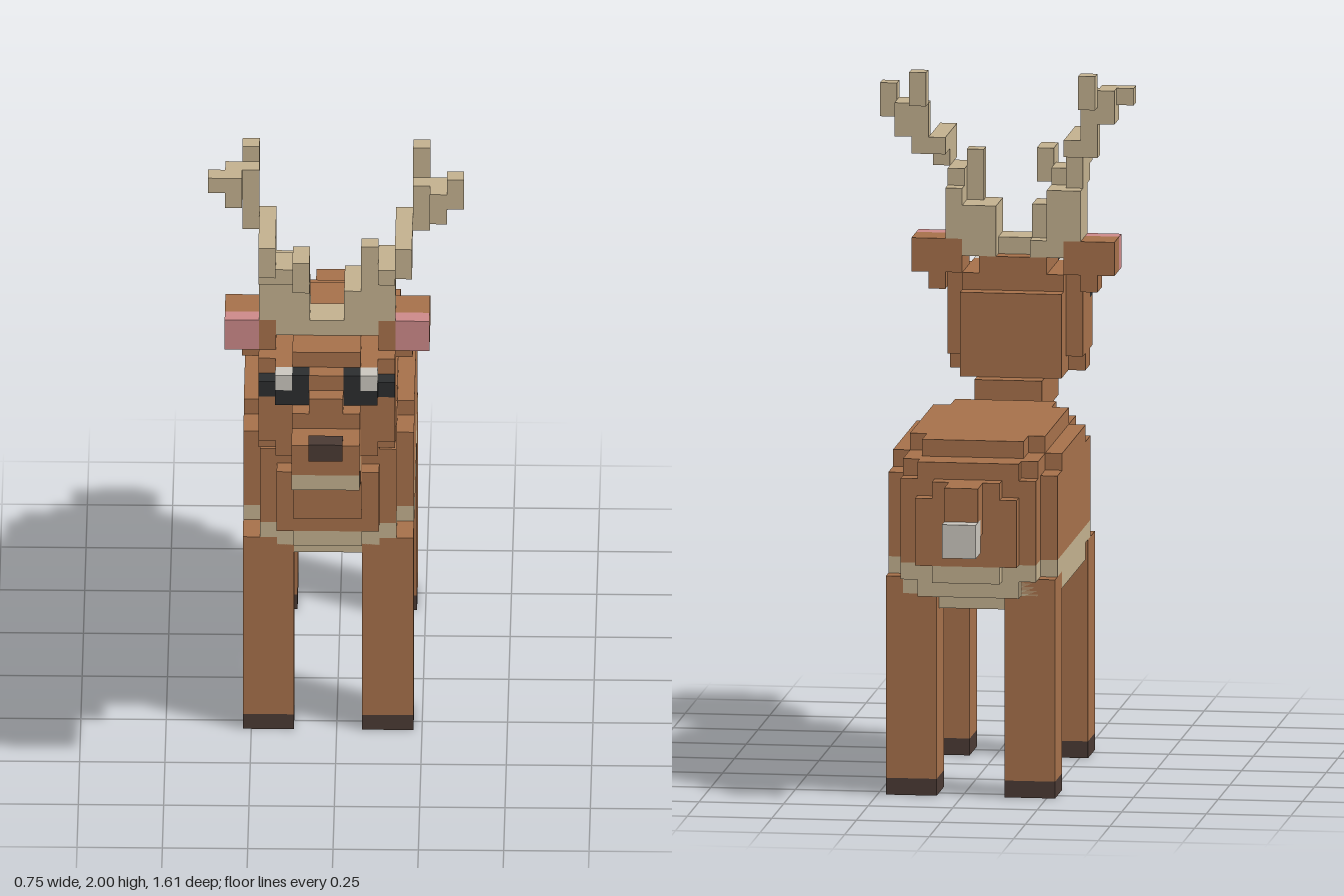
import * as THREE from 'three';
import { mergeGeometries } from 'three/addons/utils/BufferGeometryUtils.js';

const S = 0.05;      // edge of one cube
const X0 = -0.025;   // mirror plane of the body

const mat = (name, color) => {
  const m = new THREE.MeshStandardMaterial({ color });
  m.name = name;
  return m;
};

// Block given in cube units: x0, x1, y0, y1, z0, z1
function block([x0, x1, y0, y1, z0, z1]) {
  const g = new THREE.BoxGeometry((x1 - x0) * S, (y1 - y0) * S, (z1 - z0) * S);
  return g.translate(X0 + (x0 + x1) * S / 2, (y0 + y1) * S / 2, (z0 + z1) * S / 2);
}
const flip = ([a, b, ...rest]) => [-b, -a, ...rest];
const both = (list) => list.flatMap((b) => [b, flip(b)]);

export function createModel() {
  const fur = mat('brown fur', 0xa5704a);
  const cream = mat('cream', 0xc2b08e);
  const pink = mat('pink', 0xcb8888);
  const hoofDark = mat('dark hoof', 0x4a3a34);
  const black = mat('eye black', 0x2b2d2e);
  const white = mat('off white', 0xc9c5bd);

  const model = new THREE.Group();
  const add = (name, material, blocks) => {
    const mesh = new THREE.Mesh(mergeGeometries(blocks.map(block)), material);
    mesh.name = name;
    model.add(mesh);
  };

  // Rounded barrel: one run of cubes along z for each row of a superellipsoid
  const back = [], belly = [];
  for (let y = 11; y < 21; y++) {
    const v = ((y + 0.5 - 16) / 5) ** 4;
    let lastHalf = 0;
    for (let u = 4; u >= 0; u--) {
      const uu = ((u + 0.5) / 5) ** 4;
      let half = 0;
      while (half < 10 && uu + v + ((half + 0.5) / 10) ** 4 < 0.938) half++;
      if (half > lastHalf) {
        (y < 14 ? belly : back).push([-u - 1, u + 1, y, y + 1, -3 - half, -3 + half]);
        lastHalf = half;
      }
    }
  }
  add('body', fur, back);
  add('belly', cream, belly);

  // Legs and hooves
  for (const [end, z] of [['front', 3], ['back', -11]]) {
    for (const [side, x] of [['Left', 2], ['Right', -5]]) {
      add(end + side + 'Leg', fur, [[x, x + 3, 1, 13, z, z + 3]]);
      add(end + side + 'Hoof', hoofDark, [[x, x + 3, 0, 1, z, z + 3]]);
    }
  }

  // Tail
  add('tail', fur, [[-1, 1, 17, 19, -15, -12], [-1, 1, 16, 17, -14, -12]]);
  add('tailTip', white, [[-1, 1, 15, 17, -16, -14]]);

  // Neck
  add('neck', fur, [
    [-2, 2, 16, 19, 3, 9], [-2, 2, 19, 21, 5, 10], [-2, 2, 20, 22, 5, 12],
  ]);

  // Head
  add('head', fur, [
    [-3, 3, 22, 27, 6, 12], [-3, 3, 27, 28, 7, 12],
    ...both([[3, 4, 23, 26, 8, 12], [3, 4, 26, 28, 8, 11], [3, 4, 22, 23, 9, 11]]),
    [-2, 2, 28, 29, 7, 12],
    [-2, 2, 22, 26, 12, 13], [-1, 1, 26, 28, 12, 13],
  ]);
  add('muzzle', fur, [[-2, 2, 23, 25, 13, 16], [-2, 2, 25, 26, 13, 14], [-1, 1, 26, 27, 13, 14]]);
  add('chin', cream, [[-2, 2, 22, 23, 13, 16]]);
  add('nose', hoofDark, [[-1, 1, 24, 25.1, 15, 16.1]]);

  // Eyes
  add('eyes', black, both([[1, 3, 26, 27, 12, 13], [3, 4, 26, 27, 11, 12], [1, 2, 27, 28, 12, 13]]));
  add('eyeHighlights', white, both([[2, 3, 27, 28, 12, 13]]));

  // Ears
  add('ears', fur, both([[3, 6, 28, 30, 7, 9], [3, 4, 28, 30, 9, 10], [4, 5, 27, 28, 7, 9]]));
  add('innerEars', pink, both([[4, 6, 28, 30, 9, 10]]));

  // Antlers
  add('antlerBase', cream, [
    [-3, 3, 29, 30, 8, 10], ...both([[1, 3, 29, 30, 7, 8]]),
  ]);
  add('rightAntler', cream, [
    [-4, -2, 30, 33, 7, 10], [-2, -1, 30, 32, 8, 10],
    [-4, -3, 33, 35, 8, 11],
    [-4, -3, 34, 36, 10, 12], [-4, -3, 35, 36, 7, 10],
    [-3, -2, 33, 34, 9, 11], [-2, -1, 33, 35, 10, 12],
    [-5, -4, 35, 39, 7, 8], [-5, -4, 38, 40, 6, 7],
    [-6, -5, 37, 39, 7, 9], [-7, -6, 38, 39, 8, 9],
  ]);
  add('leftAntler', cream, [
    [1, 3, 30, 32, 7, 10], [3, 4, 30, 33, 7, 10],
    [2, 3, 32, 35, 9, 10], [3, 4, 33, 34, 8, 11],
    [4, 5, 34, 35, 9, 11], [4, 5, 34, 36, 10, 12], [4, 5, 35, 36, 7, 10],
    [5, 6, 35, 38, 7, 8], [5, 6, 38, 40, 6, 7],
    [6, 7, 36, 38, 7, 9], [7, 8, 37, 39, 8, 9],
  ]);

  return model;
}
